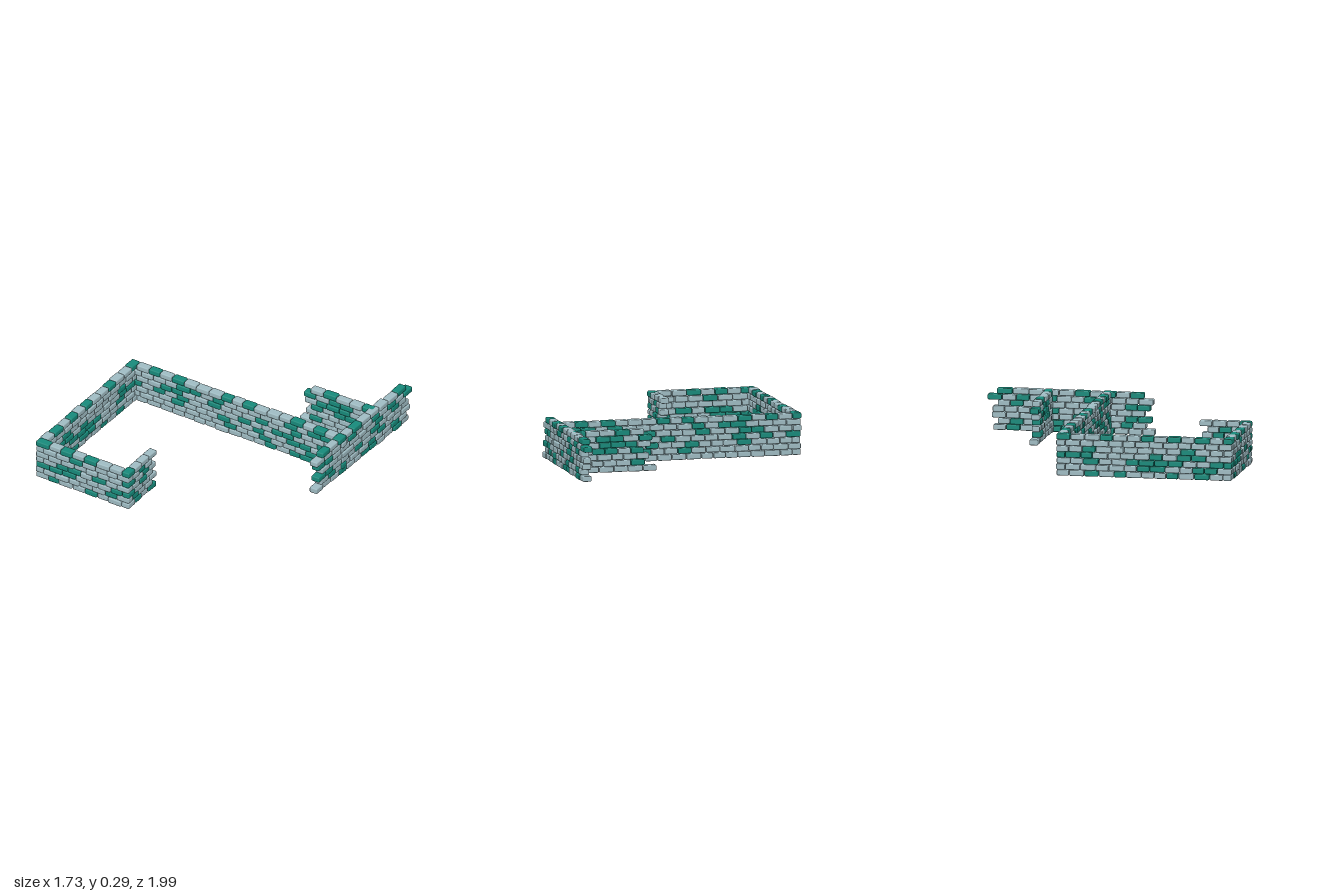
import * as THREE from 'three';
import { RoundedBoxGeometry } from 'three/addons/geometries/RoundedBoxGeometry.js';

const COURSES = 7;
const PITCH = 0.041;     // height of one course
const BRICK = 0.094;     // average brick length
const DEPTH = 0.058;     // average wall thickness

const stone = new THREE.MeshStandardMaterial({ color: 0x9fbcc3 });
const teal = new THREE.MeshStandardMaterial({ color: 0x178a7b });

// Small seeded generator
let seed = 7;
function rand(a = 0, b = 1) {
  seed = (seed * 1664525 + 1013904223) % 4294967296;
  return a + (b - a) * (seed / 4294967296);
}

// Wall end that interlocks with a neighbour: one value for even courses, one for odd
const bond = (even, odd) => Array.from({ length: COURSES }, (_, c) => (c % 2 ? odd : even));

// One rounded, slightly irregular brick
function makeBrick(length, isTeal) {
  const h = PITCH - rand(0.0005, 0.003);
  const geometry = new RoundedBoxGeometry(length - 0.004, h, DEPTH + rand(-0.004, 0.005), 1, 0.008);
  const brick = new THREE.Mesh(geometry, isTeal ? teal : stone);
  brick.name = isTeal ? 'tealBrick' : 'stoneBrick';
  return brick;
}

// A wall along x or z; start and end hold the limits of each course, bottom to top.
// top gives the colours of the uppermost course; slant drifts the wall sideways.
function makeWall({ name, axis, at, start, end, top, slant = 0 }) {
  const wall = new THREE.Group();
  wall.name = name;
  for (let c = 0; c < COURSES; c++) {
    const isTop = c === COURSES - 1;
    const span = end[c] - start[c];
    const n = isTop ? top.length : Math.max(1, Math.round(Math.abs(span) / BRICK));
    const weights = Array.from({ length: n }, () => rand(0.86, 1.14));
    const total = weights.reduce((a, b) => a + b, 0);
    let pos = start[c];
    weights.forEach((w, i) => {
      const step = (span * w) / total;
      const isTeal = isTop ? top[i] === 't' : rand() < 0.31;
      const brick = makeBrick(Math.abs(step), isTeal);
      const along = pos + step / 2;
      const across = at + slant * along + rand(-0.004, 0.004);
      const y = PITCH * (c + 0.5) + (c ? rand(-0.001, 0.001) : 0);
      if (axis === 'x') brick.position.set(along, y, across);
      else brick.position.set(across, y, along);
      brick.rotation.y = (axis === 'x' ? 0 : Math.PI / 2) + rand(-0.025, 0.025);
      wall.add(brick);
      pos += step;
    });
  }
  return wall;
}

export function createModel() {
  const model = new THREE.Group();
  model.name = 'brickWalls';

  const walls = [
    // Long wall on the right side of the enclosure
    { name: 'sideWall', axis: 'z', at: -0.83, start: bond(-0.21, -0.15), end: bond(0.93, 0.99), top: 'tggtggtgtgtg' },
    // Short front wall
    { name: 'frontWall', axis: 'x', at: 0.96, start: bond(-0.86, -0.8), end: bond(-0.175, -0.115), top: 'tgtgtgg' },
    // Return at the end of the front wall, with a toothed free end
    {
      name: 'returnWall', axis: 'z', at: -0.145, start: bond(0.99, 0.93),
      end: [0.64, 0.69, 0.64, 0.68, 0.65, 0.69, 0.635], top: 'tggg',
    },
    // Long middle wall
    { name: 'middleWall', axis: 'x', at: -0.182, start: bond(-0.8, -0.86), end: bond(0.79, 0.855), top: 'gtgtgggtgtgggtgtg' },
    // Cross wall, toothed at both ends
    {
      name: 'crossWall', axis: 'z', at: 0.813, slant: -0.022,
      start: [-0.96, -0.93, -0.97, -0.965, -0.93, -1, -0.935],
      end: [0.15, 0.09, 0.13, 0.08, 0.12, 0.14, 0.075], top: 'tggggtgtgt',
    },
    // Spur wall with a ragged free end
    {
      name: 'spurWall', axis: 'x', at: -0.577, start: bond(0.835, 0.79),
      end: [0.25, 0.33, 0.3, 0.34, 0.29, 0.28, 0.335], top: 'tggtg',
    },
  ];
  walls.forEach((w) => model.add(makeWall(w)));
  return model;
}
